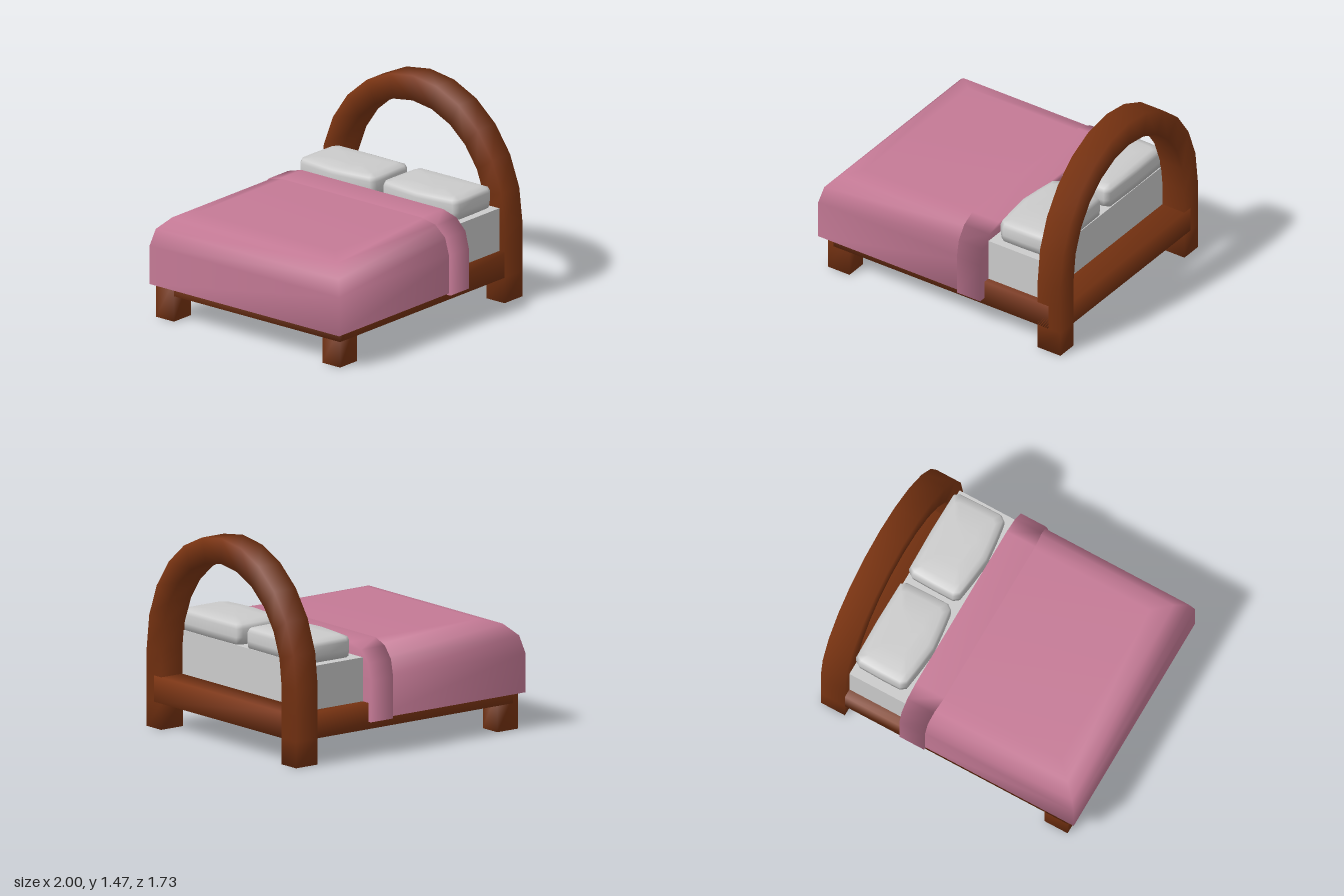
import * as THREE from 'three';

const material = (color) => new THREE.MeshStandardMaterial({ color });
const wood = material(0x7a3412);
const pink = material(0xc57a96);
const grey = material(0xcccccc);

// Smooth closed skin over equal rings of [x, y, z] points; hardBase gives the first cap its own normals
function loft(name, rings, mat, hardBase = false) {
  const n = rings[0].length;
  const points = rings.flat();
  const last = (rings.length - 1) * n;
  const index = [];
  for (let i = 0; i < rings.length - 1; i++) {
    for (let j = 0; j < n; j++) {
      const k = (j + 1) % n;
      const a = i * n + j, b = i * n + k;
      index.push(a, b, b + n, a, b + n, a + n);
    }
  }
  let base = 0;
  if (hardBase) {
    base = points.length;
    points.push(...rings[0]);
  }
  for (let j = 1; j < n - 1; j++) {
    index.push(last, last + j, last + j + 1, base, base + j + 1, base + j);
  }
  const geo = new THREE.BufferGeometry();
  geo.setAttribute('position', new THREE.Float32BufferAttribute(points.flat(), 3));
  geo.setIndex(index);
  geo.computeVertexNormals();
  const mesh = new THREE.Mesh(geo, mat);
  mesh.name = name;
  return mesh;
}

// Rectangle ring at height y
const rect = (x0, x1, z0, z1, y) => [[x0, y, z1], [x1, y, z1], [x1, y, z0], [x0, y, z0]];

// Soft-shaded beam
const beam = (name, x0, x1, y0, y1, z0, z1) =>
  loft(name, [rect(x0, x1, z0, z1, y0), rect(x0, x1, z0, z1, y1)], wood);

// Headboard: two legs joined by a half-ellipse arch of square section
function headboard() {
  const section = (y0, z0, y1, z1) => [[0.81, y0, z0], [1, y0, z0], [1, y1, z1], [0.81, y1, z1]];
  const zc = -0.013, outer = 0.825, inner = 0.665, spring = 0.55;
  const rings = [];
  for (const y of [0, 0.185, 0.37]) rings.push(section(y, zc + outer, y, zc + inner));
  for (let i = 0; i <= 12; i++) {
    const a = (i / 12) * Math.PI, c = Math.cos(a), s = Math.sin(a);
    rings.push(section(spring + 0.92 * s, zc + outer * c, spring + 0.74 * s, zc + inner * c));
  }
  for (const y of [0.37, 0.185, 0]) rings.push(section(y, zc - outer, y, zc - inner));
  return loft('headboardArch', rings, wood);
}

// Rounded shoulder shared by the blanket and its fold: [height, inset]
const shoulder = [[0.53, 0], [0.65, 0.03], [0.73, 0.11], [0.76, 0.23]];

function blanket() {
  const rings = [[0.25, 0], ...shoulder].map(([y, d]) =>
    rect(-1 + d, 0.35, -0.85 + d, 0.85 - d, y));
  return loft('blanket', rings, pink, true);
}

function blanketFold() {
  const rings = [[0.237, 0], ...shoulder].map(([y, d]) =>
    rect(0.17 - d * 0.13, 0.365, -0.865 + d, 0.865 - d, y + (d > 0.2 ? 0.004 : 0)));
  return loft('blanketFold', rings, pink, true);
}

// Pillow: slightly bowed outline, domed on top
function pillow(z) {
  const outline = [
    [0.39, 0.17], [0.41, 0.31], [0.45, 0.34], [0.6, 0.34], [0.77, 0.335], [0.81, 0.31],
    [0.815, 0], [0.81, -0.31], [0.77, -0.335], [0.6, -0.34], [0.45, -0.34], [0.41, -0.31],
    [0.39, -0.17], [0.372, 0],
  ];
  const levels = [[0.675, 0.98], [0.73, 1], [0.79, 1], [0.818, 0.96], [0.833, 0.8], [0.84, 0.45]];
  const rings = levels.map(([y, s]) =>
    outline.map(([px, pz]) => [0.6 + (px - 0.6) * s, y, z + pz * s]));
  return loft('pillow', rings, grey);
}

export function createModel() {
  const bed = new THREE.Group();
  bed.name = 'bed';

  // Wooden frame
  const frame = new THREE.Group();
  frame.name = 'frame';
  frame.add(headboard());
  frame.add(beam('headRail', 0.81, 1, 0.185, 0.37, -0.75, 0.73));
  frame.add(beam('footRail', -0.945, -0.77, 0.185, 0.37, -0.838, 0.812));
  for (const side of [1, -1]) {
    const zOut = -0.013 + side * 0.825, zIn = -0.013 + side * 0.665;
    const z0 = Math.min(zOut, zIn), z1 = Math.max(zOut, zIn);
    frame.add(beam('sideRail', -0.9, 0.9, 0.185, 0.37, z0, z1));
    frame.add(beam('footLeg', -0.945, -0.765, 0, 0.3, z0, z1));
  }
  bed.add(frame);

  // Mattress, showing at the head end
  const mattress = new THREE.Mesh(new THREE.BoxGeometry(0.46, 0.31, 1.54), grey);
  mattress.name = 'mattress';
  mattress.position.set(0.585, 0.525, -0.005);
  bed.add(mattress);

  // Bedding
  bed.add(blanket(), blanketFold(), pillow(0.372), pillow(-0.372));
  return bed;
}
